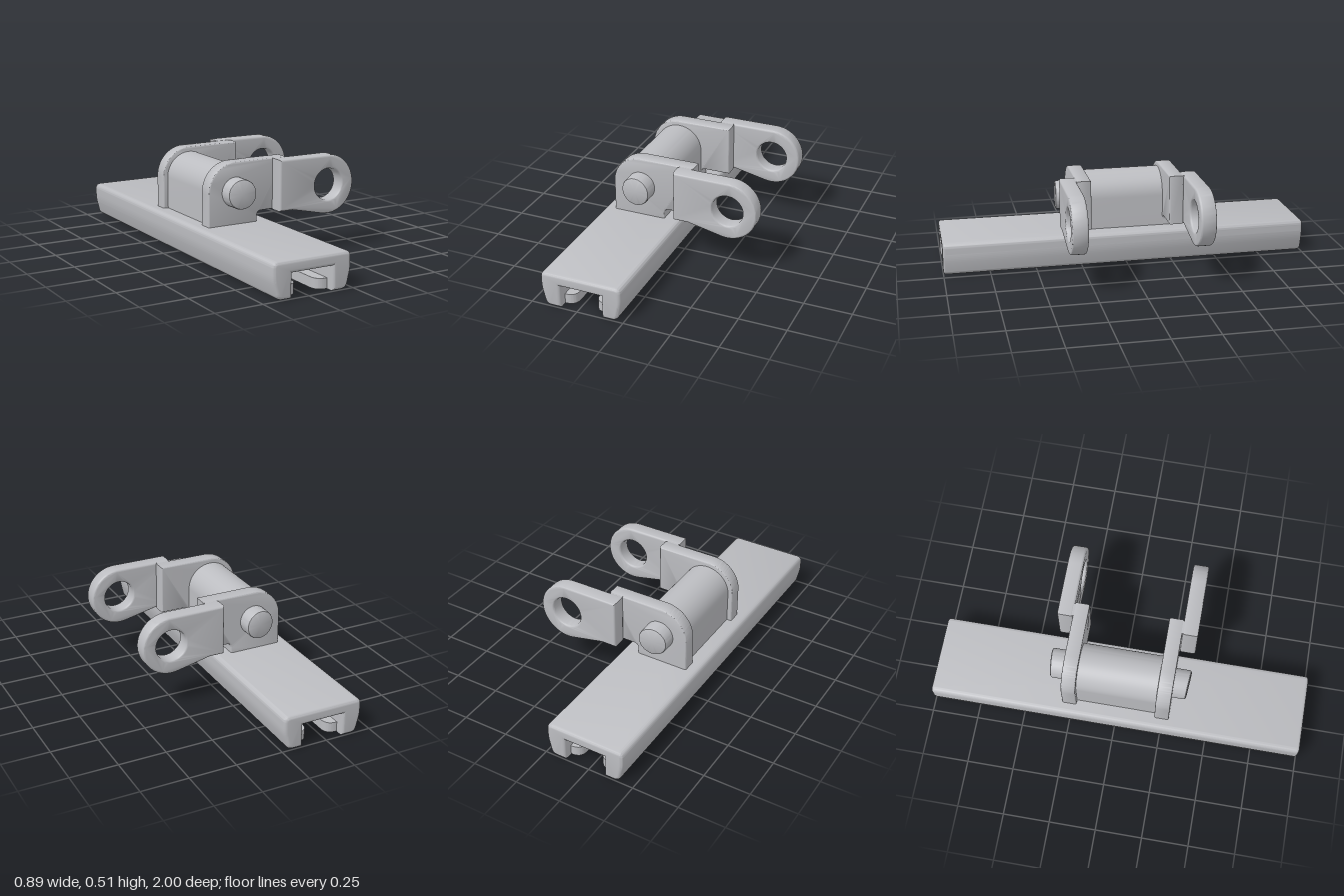
import * as THREE from 'three';
import { toCreasedNormals } from 'three/addons/utils/BufferGeometryUtils.js';

const CREASE = 0.6;
const PIN = { x: -0.229, y: 0.354 };
const EYE = { x: 0.287, y: 0.353, r: 0.157, hole: 0.084 };

// Closed outline from [x, y, cornerRadius] points.
function roundedShape(points) {
  const shape = new THREE.Shape();
  const n = points.length;
  points.forEach(([x, y, r = 0], i) => {
    const p = new THREE.Vector2(x, y);
    const toward = ([qx, qy]) => new THREE.Vector2(qx - x, qy - y).setLength(r).add(p);
    const a = toward(points[(i + n - 1) % n]);
    const b = toward(points[(i + 1) % n]);
    if (i === 0) shape.moveTo(a.x, a.y);
    else shape.lineTo(a.x, a.y);
    if (r > 0) shape.quadraticCurveTo(x, y, b.x, b.y);
  });
  shape.closePath();
  return shape;
}

// Extrusion filling z0..z1 with edges rounded inwards by b.
function slab(shape, z0, z1, b = 0) {
  const geo = new THREE.ExtrudeGeometry(shape, {
    depth: z1 - z0 - 2 * b, curveSegments: 20, bevelEnabled: b > 0,
    bevelThickness: b, bevelSize: b, bevelOffset: -b, bevelSegments: 4,
  });
  geo.translate(0, 0, z0 + b);
  return toCreasedNormals(geo, CREASE);
}

export function createModel() {
  const model = new THREE.Group();
  model.name = 'hingeBracket';
  const metal = new THREE.MeshStandardMaterial({ color: 0xbcbdc1 });
  metal.name = 'light grey metal';
  const add = (name, geo, parent = model) => {
    const mesh = new THREE.Mesh(geo, metal);
    mesh.name = name;
    parent.add(mesh);
    return mesh;
  };

  // Long channel rail, open underneath
  const cx = -0.2275;
  const half = [[-0.1125, 0.122], [-0.1125, 0], [-0.194, 0, 0.03], [-0.2175, 0.1, 0.025], [-0.2175, 0.185, 0.03]];
  const left = half.map(([x, y, r]) => [cx + x, y, r]);
  const right = half.map(([x, y, r]) => [cx - x, y, r]).reverse();
  add('rail', slab(roundedShape([...left, ...right]), -1, 1, 0.018));

  // Retaining lips inside the channel, rounded at the rail ends
  for (const sx of [-1, 1]) {
    for (const sz of [-1, 1]) {
      const wall = cx + sx * 0.1145, edge = cx + sx * 0.053;
      const lip = roundedShape([
        [wall, sz * 0.45], [edge, sz * 0.45], [edge, sz * 0.95, 0.055], [wall, sz * 0.95],
      ]);
      const geo = slab(lip, 0, 0.053);
      geo.rotateX(Math.PI / 2).translate(0, 0.054, 0);
      add('channelLip', geo);
    }
  }

  // Barrel block between the arms
  const barrel = new THREE.Shape();
  barrel.moveTo(PIN.x - 0.13, 0.17);
  barrel.lineTo(PIN.x + 0.13, 0.17);
  barrel.absarc(PIN.x, PIN.y, 0.13, 0, Math.PI, false);
  barrel.closePath();
  add('barrel', slab(barrel, -0.22, 0.22));

  // Inner half of an arm, standing on the rail
  const cheek = new THREE.Shape();
  cheek.moveTo(-0.385, 0.16);
  cheek.lineTo(-0.099, 0.16);
  cheek.lineTo(-0.099, 0.213);
  cheek.quadraticCurveTo(-0.099, 0.24, -0.072, 0.24);
  cheek.lineTo(0.068, 0.24);
  cheek.lineTo(0.068, 0.51);
  cheek.lineTo(PIN.x, 0.51);
  cheek.absarc(PIN.x, PIN.y, 0.156, Math.PI / 2, Math.PI, false);
  cheek.closePath();

  // Outer half of an arm, ending in a round eye
  const eye = new THREE.Shape();
  eye.moveTo(-0.012, 0.51);
  eye.lineTo(-0.012, 0.24);
  eye.lineTo(0.07, 0.24);
  eye.absarc(EYE.x, EYE.y, EYE.r, -1.787, Math.PI / 2, false);
  eye.closePath();
  const hole = new THREE.Path();
  hole.absarc(EYE.x, EYE.y, EYE.hole, 0, Math.PI * 2, true);
  eye.holes.push(hole);

  for (const side of [1, -1]) {
    const arm = new THREE.Group();
    arm.name = side > 0 ? 'frontArm' : 'backArm';
    model.add(arm);
    const span = (a, b) => (side > 0 ? [a, b] : [-b, -a]);
    add('armCheek', slab(cheek, ...span(0.212, 0.289), 0.008), arm);
    add('armEye', slab(eye, ...span(0.289, 0.373), 0.012), arm);

    // Web joining the two offset halves
    const web = new THREE.BoxGeometry(0.07, 0.268, 0.09);
    web.translate(0.027, 0.375, side * 0.29);
    add('armWeb', web, arm);

    // Pin head with a softened rim and a slightly slanted end
    const profile = [[0, 0.2], [0.078, 0.2], [0.078, 0.355], [0.075, 0.363], [0.068, 0.367], [0, 0.367]];
    let pin = new THREE.LatheGeometry(profile.map(([r, h]) => new THREE.Vector2(r, h)), 48);
    pin.rotateX(side * Math.PI / 2);
    const pos = pin.attributes.position;
    for (let i = 0; i < pos.count; i++) {
      const z = pos.getZ(i);
      if (Math.abs(z) > 0.3) pos.setZ(i, z + side * pos.getX(i) * 0.08);
    }
    pin = toCreasedNormals(pin, CREASE);
    pin.translate(PIN.x, PIN.y, 0);
    add('pinHead', pin, arm);
  }
  return model;
}
